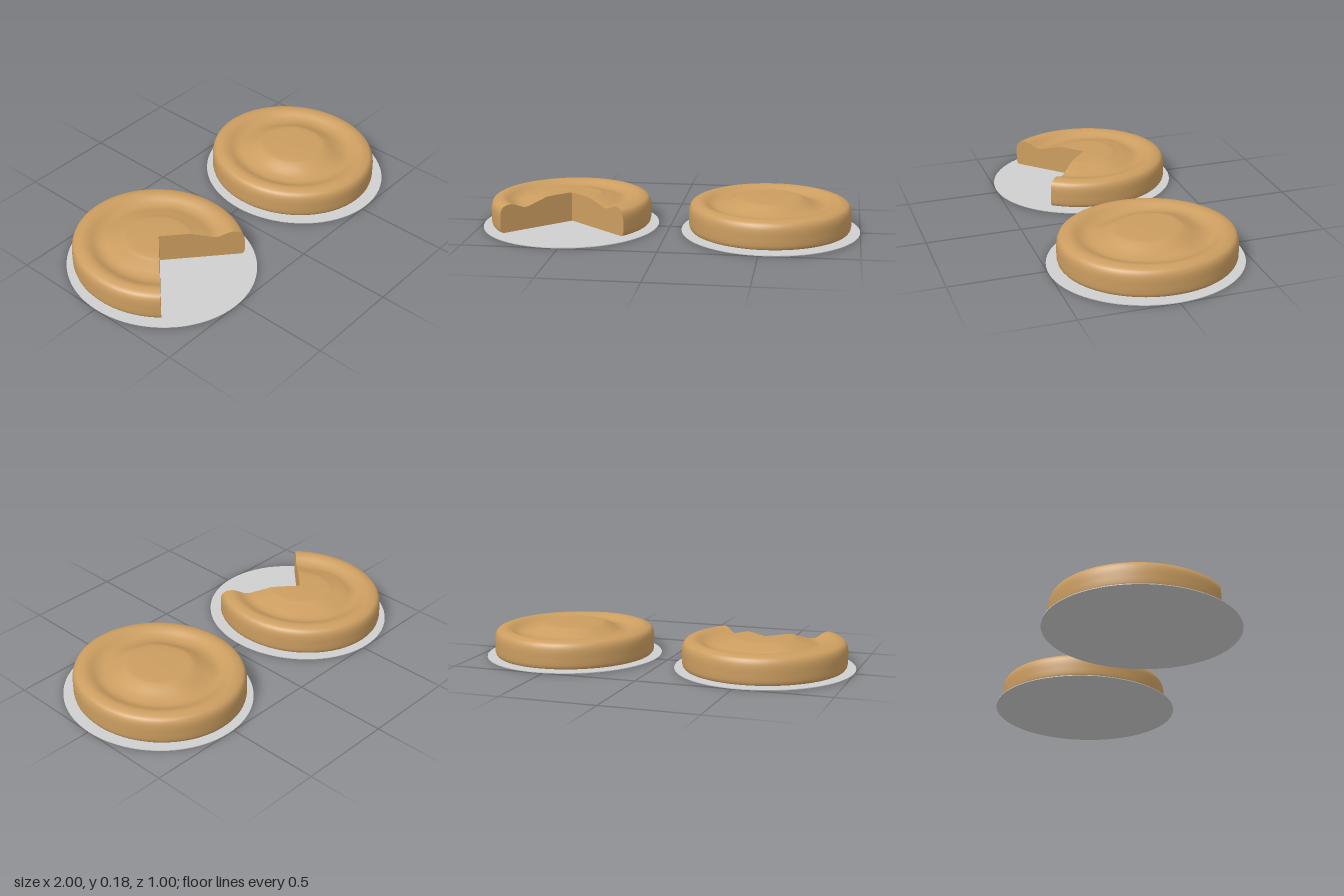
import * as THREE from 'three';
import { mergeVertices } from 'three/addons/utils/BufferGeometryUtils.js';

const crust = new THREE.MeshStandardMaterial({ color: 0xcb9d60 });
crust.name = 'golden crust';
const card = new THREE.MeshStandardMaterial({ color: 0xcfcfcf });
card.name = 'pale grey card';

const SEGMENTS = 72;
const RX = 0.425, RZ = 0.455;

// Half section of a pie: unit radius against height, from the base centre over the rim to the top centre
function makeProfile(top) {
  const base = [[0, 0.01], [0.95, 0.01], [0.98, 0.013], [0.992, 0.02], [1, 0.034]];
  const over = [
    [1, 0.06], [1, 0.1], [0.988, 0.128], [0.955, 0.147], [0.88, 0.157], [0.81, 0.153],
    [0.72, 0.136], [0.64, 0.133], [0.54, 0.145], [0.42, top - 0.009], [0.33, top - 0.001], [0, top],
  ].map(([r, y]) => new THREE.Vector2(r, y));
  return [...base.map(([r, y]) => new THREE.Vector2(r, y)), ...new THREE.SplineCurve(over).getPoints(44)]
    .map((p) => p.set(Math.max(0, p.x), p.y));
}

// Turns a profile point about the axis, with gentle hand-made unevenness on top
function place(p, phi, top) {
  const ring = p.y > 0.11 ? Math.max(0, 1 - Math.abs(p.x - 0.57) / 0.27) : 0;
  const lump = 0.5 * Math.sin(2 * phi + 0.6) + 0.3 * Math.sin(3 * phi + 2) + 0.2 * Math.sin(7 * phi);
  const y = Math.min(top, p.y + 0.009 * ring * lump);
  return new THREE.Vector3(p.x * RX * Math.sin(phi), y, p.x * RZ * Math.cos(phi));
}

function makePie(name, top, start, end) {
  const group = new THREE.Group();
  group.name = name;
  const profile = makeProfile(top);

  // Rounded body
  const body = new THREE.LatheGeometry(profile, SEGMENTS, start, end - start);
  const pos = body.attributes.position;
  for (let i = 0; i <= SEGMENTS; i++) {
    const phi = start + ((end - start) * i) / SEGMENTS;
    profile.forEach((p, j) => {
      const v = place(p, phi, top);
      pos.setXYZ(i * profile.length + j, v.x, v.y, v.z);
    });
  }
  body.deleteAttribute('uv');
  body.deleteAttribute('normal');
  const smooth = mergeVertices(body, 1e-5);
  smooth.computeVertexNormals();
  const bodyMesh = new THREE.Mesh(smooth, crust);
  bodyMesh.name = 'pieCrust';
  group.add(bodyMesh);

  // Flat cut faces where a slice is missing
  if (end - start < Math.PI * 2 - 0.01) {
    [start, end].forEach((phi, side) => {
      const pts = profile.map((p) => place(p, phi, top));
      const tris = [];
      for (let j = 1; j < pts.length - 1; j++) {
        tris.push(pts[0], ...(side ? [pts[j + 1], pts[j]] : [pts[j], pts[j + 1]]));
      }
      const wall = new THREE.BufferGeometry().setFromPoints(tris);
      wall.computeVertexNormals();
      const mesh = new THREE.Mesh(wall, crust);
      mesh.name = side ? 'cutFaceRight' : 'cutFaceLeft';
      group.add(mesh);
    });
  }
  return group;
}

// Thin oval card under each pie
function makePlate(name, x) {
  const geometry = new THREE.CylinderGeometry(1, 1, 0.004, 72);
  geometry.scale(0.4675, 1, 0.5);
  const plate = new THREE.Mesh(geometry, card);
  plate.name = name;
  plate.position.set(x, 0.002, 0);
  return plate;
}

export function createModel() {
  const model = new THREE.Group();
  model.name = 'twoPies';
  const cutPie = makePie('cutPie', 0.167, 0.885, Math.PI * 2 - 0.82);
  cutPie.position.set(-0.534, 0, -0.012);
  const wholePie = makePie('wholePie', 0.178, 0, Math.PI * 2);
  wholePie.position.set(0.528, 0, -0.01);
  model.add(makePlate('rightPlate', -0.5325), makePlate('leftPlate', 0.5325), cutPie, wholePie);
  return model;
}
